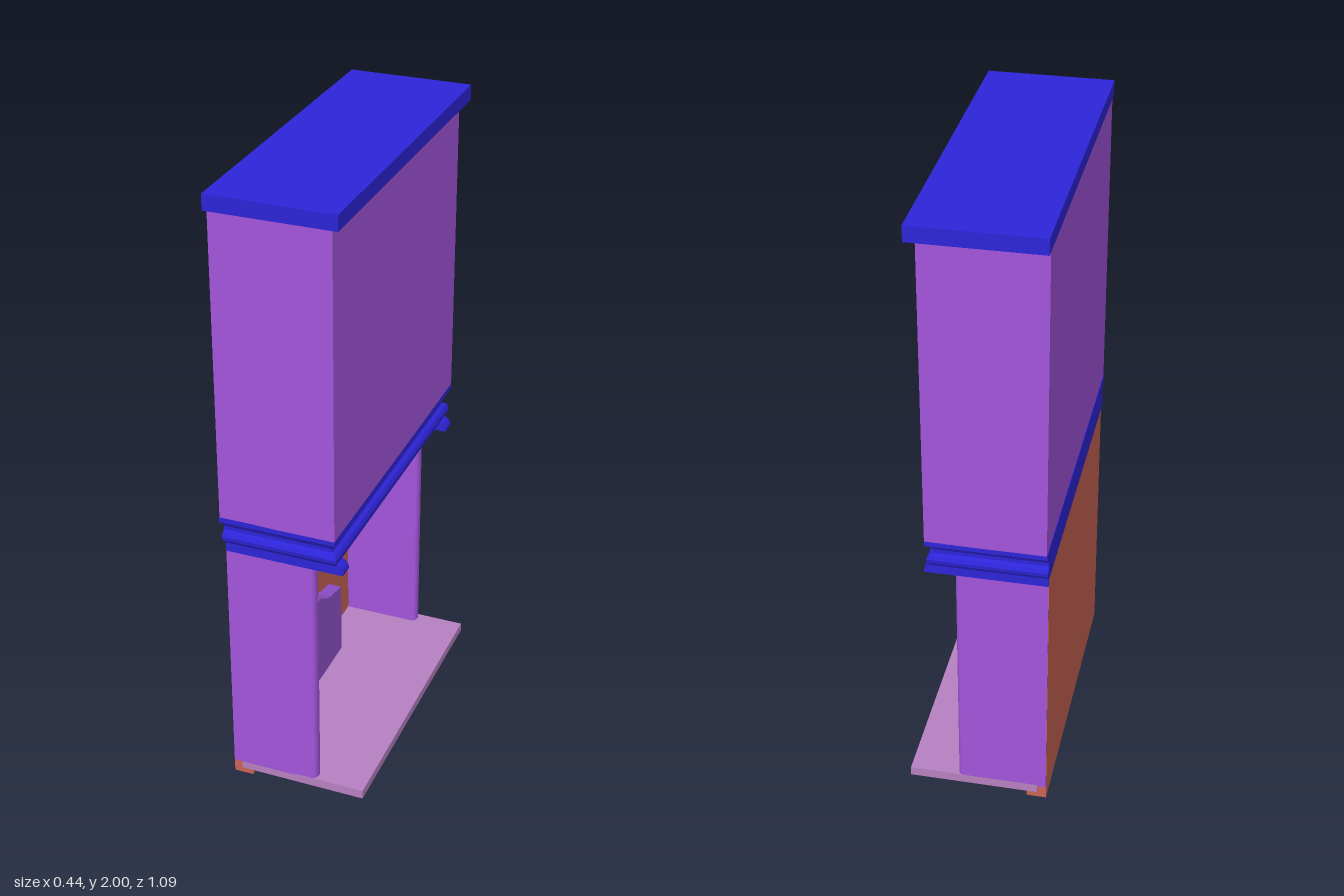
import * as THREE from 'three';

const paint = (color) => new THREE.MeshStandardMaterial({ color });
const BLUE = paint(0x2d24d8), PURPLE = paint(0xa355dc), BRICK = paint(0xc96455);
const MAUVE = paint(0xb680c0), VIOLET = paint(0x9052cb);

export function createModel() {
  const model = new THREE.Group();

  function add(name, geometry, material) {
    const mesh = new THREE.Mesh(geometry, material);
    mesh.name = name;
    model.add(mesh);
    return mesh;
  }

  // Box given by its x and y limits, symmetric in z
  function slab(name, x0, x1, y0, y1, halfZ, material) {
    const g = new THREE.BoxGeometry(x1 - x0, y1 - y0, halfZ * 2);
    g.translate((x0 + x1) / 2, (y0 + y1) / 2, 0);
    return add(name, g, material);
  }

  // Mitred moulding: rows of [y, front x, half depth z] joined on four sides
  function moulding(rows, backX) {
    const pos = [];
    const ring = ([y, x, z]) => [[backX, y, z], [x, y, z], [x, y, -z], [backX, y, -z]];
    const quad = (a, b, c, d) => pos.push(...a, ...b, ...c, ...a, ...c, ...d);
    const rings = rows.map(ring);
    for (let i = 0; i < rings.length - 1; i++) {
      for (let k = 0; k < 4; k++) {
        const n = (k + 1) % 4;
        quad(rings[i][k], rings[i][n], rings[i + 1][n], rings[i + 1][k]);
      }
    }
    quad(...[...rings[0]].reverse());
    quad(...rings[rings.length - 1]);
    const g = new THREE.BufferGeometry();
    g.setAttribute('position', new THREE.Float32BufferAttribute(pos, 3));
    g.computeVertexNormals();
    return g;
  }

  // Chimney breast and its cap
  slab('cap', -0.218, 0.172, 1.952, 2, 0.543, BLUE);
  slab('chimneyBreast', -0.217, 0.145, 0.975, 1.955, 0.516, PURPLE);

  // Mantel moulding: flat lip, cove, then a rounded bead
  add('mantelMoulding', moulding([
    [0.87, 0.13, 0.48], [0.876, 0.139, 0.491], [0.888, 0.144, 0.499], [0.9, 0.144, 0.501],
    [0.912, 0.138, 0.495], [0.918, 0.126, 0.486], [0.93, 0.125, 0.486], [0.942, 0.13, 0.493],
    [0.952, 0.138, 0.504], [0.96, 0.145, 0.516], [0.977, 0.145, 0.516],
  ], -0.219), BLUE);

  // Brick back wall with a foot strip
  slab('backWall', -0.218, -0.19, 0, 0.872, 0.477, BRICK);
  slab('backFoot', -0.195, -0.155, 0, 0.021, 0.477, BRICK);

  // Hearth slab
  slab('hearth', -0.19, 0.22, 0.02, 0.05, 0.48, MAUVE);

  // Side piers with rounded front corners, each under a small bracket
  const pier = new THREE.Shape();
  pier.moveTo(-0.217, -0.023);
  pier.lineTo(0.045, -0.023);
  pier.quadraticCurveTo(0.065, -0.023, 0.065, 0);
  pier.quadraticCurveTo(0.065, 0.023, 0.045, 0.023);
  pier.lineTo(-0.217, 0.023);
  const pierGeometry = new THREE.ExtrudeGeometry(pier, { depth: 0.8, bevelEnabled: false, curveSegments: 8 });
  pierGeometry.rotateX(-Math.PI / 2).translate(0, 0.045, 0);

  const bracket = new THREE.Shape();
  bracket.moveTo(-0.217, 0.84);
  bracket.lineTo(0.157, 0.84);
  bracket.quadraticCurveTo(0.161, 0.852, 0.145, 0.868);
  bracket.lineTo(0.13, 0.874);
  bracket.lineTo(-0.217, 0.874);
  const bracketGeometry = new THREE.ExtrudeGeometry(bracket, { depth: 0.047, bevelEnabled: false });
  bracketGeometry.translate(0, 0, -0.0235);

  for (const [side, s] of [['left', 1], ['right', -1]]) {
    add(side + 'Pier', pierGeometry, PURPLE).position.z = s * 0.457;
    add(side + 'Bracket', bracketGeometry, BLUE).position.z = s * 0.458;
  }

  // Fire plate with a pointed, sweeping top
  const plate = new THREE.Shape();
  plate.moveTo(-0.193, 0.045);
  plate.lineTo(0.193, 0.045);
  plate.lineTo(0.193, 0.305);
  plate.lineTo(0.095, 0.327);
  plate.quadraticCurveTo(0.06, 0.338, 0, 0.38);
  plate.quadraticCurveTo(-0.06, 0.338, -0.095, 0.327);
  plate.lineTo(-0.193, 0.305);
  const plateGeometry = new THREE.ExtrudeGeometry(plate, { depth: 0.045, bevelEnabled: false });
  plateGeometry.rotateY(Math.PI / 2).translate(-0.165, 0, 0);
  add('firePlate', plateGeometry, VIOLET);

  return model;
}
